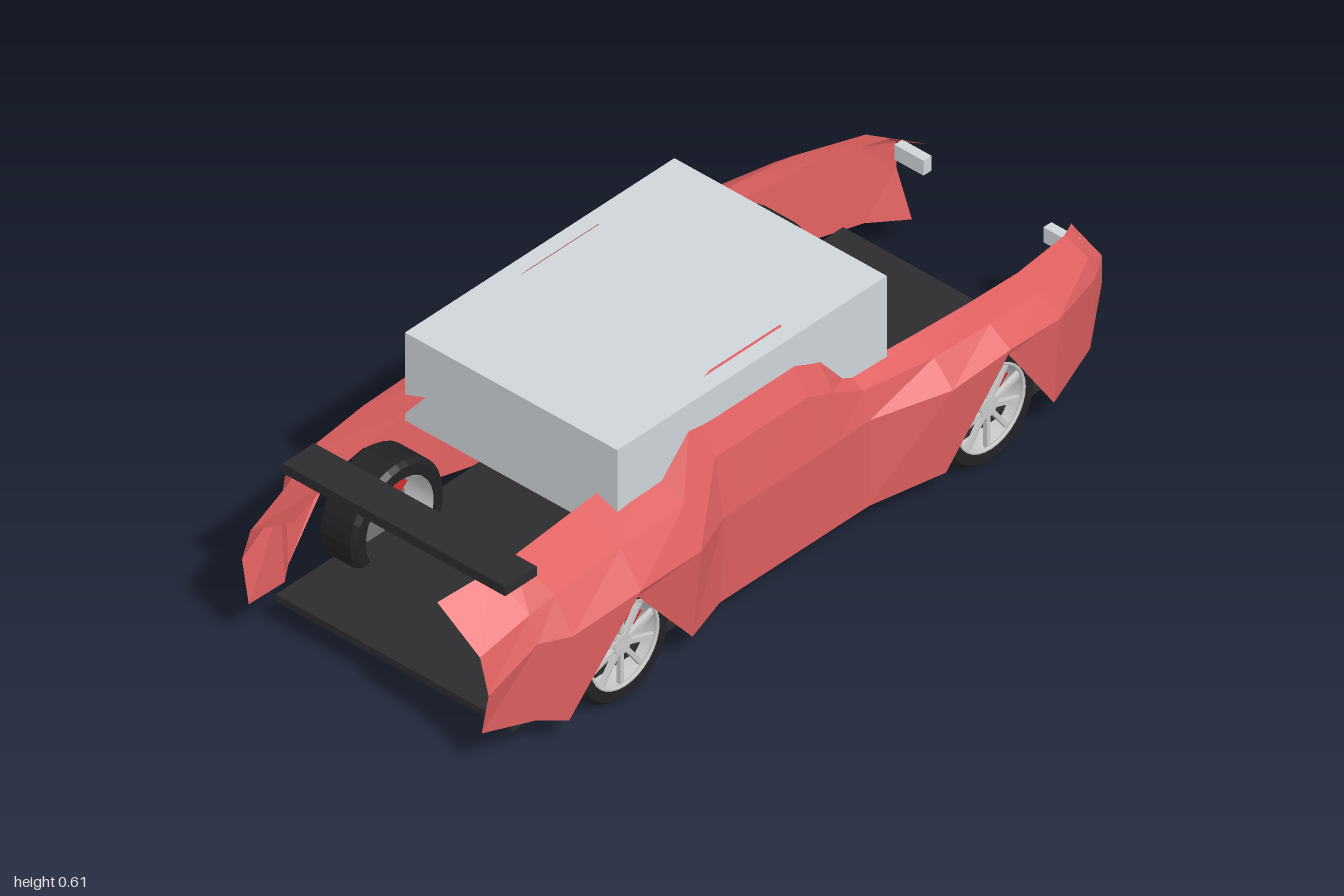
import * as THREE from 'three';

const mat = (color, extra = {}) => new THREE.MeshStandardMaterial({ color, ...extra });
const red = mat(0xe06060, { flatShading: true, side: THREE.DoubleSide });
const glass = mat(0xd0d5da);
const dark = mat(0x2c2c2f);
const seatGrey = mat(0x45454b);
const rubber = mat(0x222224, { flatShading: true });
const metal = mat(0xcccccc, { side: THREE.DoubleSide });
const steel = mat(0x77777a);
const caliperRed = mat(0xd03030);

function mesh(name, geometry, material, parent, x = 0, y = 0, z = 0) {
  const m = new THREE.Mesh(geometry, material);
  m.name = name;
  m.position.set(x, y, z);
  parent.add(m);
  return m;
}

// Box given by its lower and upper limits on each axis
function box(name, [x0, x1], [y0, y1], [z0, z1], material, parent) {
  return mesh(name, new THREE.BoxGeometry(x1 - x0, y1 - y0, z1 - z0), material, parent,
    (x0 + x1) / 2, (y0 + y1) / 2, (z0 + z1) / 2);
}

// Body side sections: z, then x,y of sill, belt, shoulder and inner top edge
const sections = [
  [1.00, 0.34, 0.11, 0.36, 0.22, 0.335, 0.31, 0.21, 0.395],
  [0.86, 0.365, 0.08, 0.375, 0.29, 0.35, 0.355, 0.235, 0.415],
  [0.80, 0.41, 0.07, 0.42, 0.30, 0.37, 0.385, 0.245, 0.425],
  [0.60, 0.425, 0.30, 0.435, 0.32, 0.375, 0.405, 0.25, 0.45],
  [0.40, 0.40, 0.07, 0.425, 0.31, 0.375, 0.41, 0.25, 0.47],
  [0.27, 0.36, 0.07, 0.37, 0.30, 0.345, 0.45, 0.275, 0.59],
  [0.20, 0.36, 0.07, 0.368, 0.30, 0.345, 0.45, 0.265, 0.605],
  [-0.02, 0.36, 0.07, 0.367, 0.30, 0.345, 0.45, 0.265, 0.605],
  [-0.10, 0.36, 0.07, 0.365, 0.30, 0.345, 0.42, 0.28, 0.54],
  [-0.20, 0.36, 0.07, 0.362, 0.30, 0.345, 0.37, 0.295, 0.395],
  [-0.40, 0.40, 0.07, 0.42, 0.30, 0.365, 0.36, 0.30, 0.385],
  [-0.57, 0.425, 0.305, 0.43, 0.32, 0.37, 0.36, 0.30, 0.375],
  [-0.74, 0.40, 0.07, 0.415, 0.30, 0.36, 0.345, 0.295, 0.365],
  [-0.93, 0.33, 0.075, 0.345, 0.27, 0.325, 0.315, 0.255, 0.34],
  [-1.00, 0.255, 0.085, 0.30, 0.20, 0.30, 0.27, 0.21, 0.31],
];

function bodySide(side) {
  const pos = [], index = [];
  sections.forEach(([z, ...p], i) => {
    for (let k = 0; k < 4; k++) {
      pos.push(side * p[2 * k], p[2 * k + 1], z);
      if (i === 0 || k === 3) continue;
      const a = (i - 1) * 4 + k, b = a + 4;
      const quad = [a, b, b + 1, a, b + 1, a + 1];
      index.push(...(side > 0 ? quad : quad.reverse()));
    }
  });
  const g = new THREE.BufferGeometry();
  g.setAttribute('position', new THREE.Float32BufferAttribute(pos, 3));
  g.setIndex(index);
  g.computeVertexNormals();
  return g;
}

// Wheel with its axle along x and its outer face towards +x
function wheel(side) {
  const w = new THREE.Group();
  const profile = [[0.108, -0.055], [0.135, -0.055], [0.145, -0.043], [0.145, 0.043],
    [0.135, 0.055], [0.108, 0.055], [0.108, -0.055]].map(p => new THREE.Vector2(...p));
  mesh('tyre', new THREE.LatheGeometry(profile, 32), rubber, w).rotation.z = -Math.PI / 2;
  const barrel = new THREE.CylinderGeometry(0.107, 0.107, 0.108, 32, 1, true);
  mesh('rimBarrel', barrel, metal, w).rotation.z = Math.PI / 2;
  const lip = new THREE.TorusGeometry(0.106, 0.005, 6, 32);
  mesh('rimLip', lip, metal, w, 0.052).rotation.y = Math.PI / 2;
  mesh('hub', new THREE.CylinderGeometry(0.026, 0.026, 0.03, 16), metal, w, 0.035).rotation.z = Math.PI / 2;
  mesh('brakeDisc', new THREE.CylinderGeometry(0.075, 0.075, 0.01, 24), steel, w, 0.005).rotation.z = Math.PI / 2;
  for (let i = 0; i < 10; i++) {
    const spoke = new THREE.BoxGeometry(0.012, 0.09, 0.011).translate(0, 0.062, 0);
    mesh('spoke', spoke, metal, w, 0.042).rotation.x = (i / 10) * Math.PI * 2;
  }
  const caliper = new THREE.BoxGeometry(0.03, 0.035, 0.055).translate(0, 0.068, 0);
  mesh('brakeCaliper', caliper, caliperRed, w, 0.014).rotation.x = -0.85 * side;
  return w;
}

export function createModel() {
  const car = new THREE.Group();
  car.name = 'car';

  // Floor, cabin and wing
  box('floorPlate', [-0.345, 0.345], [0.067, 0.085], [-0.88, 0.91], dark, car);
  box('cabin', [-0.31, 0.31], [0.365, 0.6], [-0.31, 0.54], glass, car);
  box('wing', [-0.325, 0.325], [0.42, 0.445], [0.81, 0.91], dark, car);

  // Interior
  box('dashboard', [-0.305, 0.305], [0.25, 0.37], [-0.305, -0.2], dark, car);
  box('centreConsole', [-0.05, 0.05], [0.16, 0.23], [-0.18, 0.12], dark, car);

  for (const s of [1, -1]) {
    const name = s > 0 ? 'left' : 'right';
    const span = (a, b) => (s > 0 ? [a, b] : [-b, -a]);
    mesh(name + 'BodySide', bodySide(s), red, car);
    box(name + 'SeatCushion', span(0.077, 0.27), [0.14, 0.19], [-0.1, 0.13], seatGrey, car);
    box(name + 'SeatBack', span(0.083, 0.265), [0.175, 0.42], [0.08, 0.125], seatGrey, car);
    box(name + 'Headlight', span(0.175, 0.26), [0.27, 0.31], [-0.975, -0.95], glass, car);
    for (const z of [0.595, -0.56]) {
      const w = wheel(s);
      w.name = name + (z > 0 ? 'RearAxleWheel' : 'FrontAxleWheel');
      w.position.set(s * 0.328, 0.145, z);
      if (s < 0) w.rotation.y = Math.PI;
      car.add(w);
    }
  }
  return car;
}
